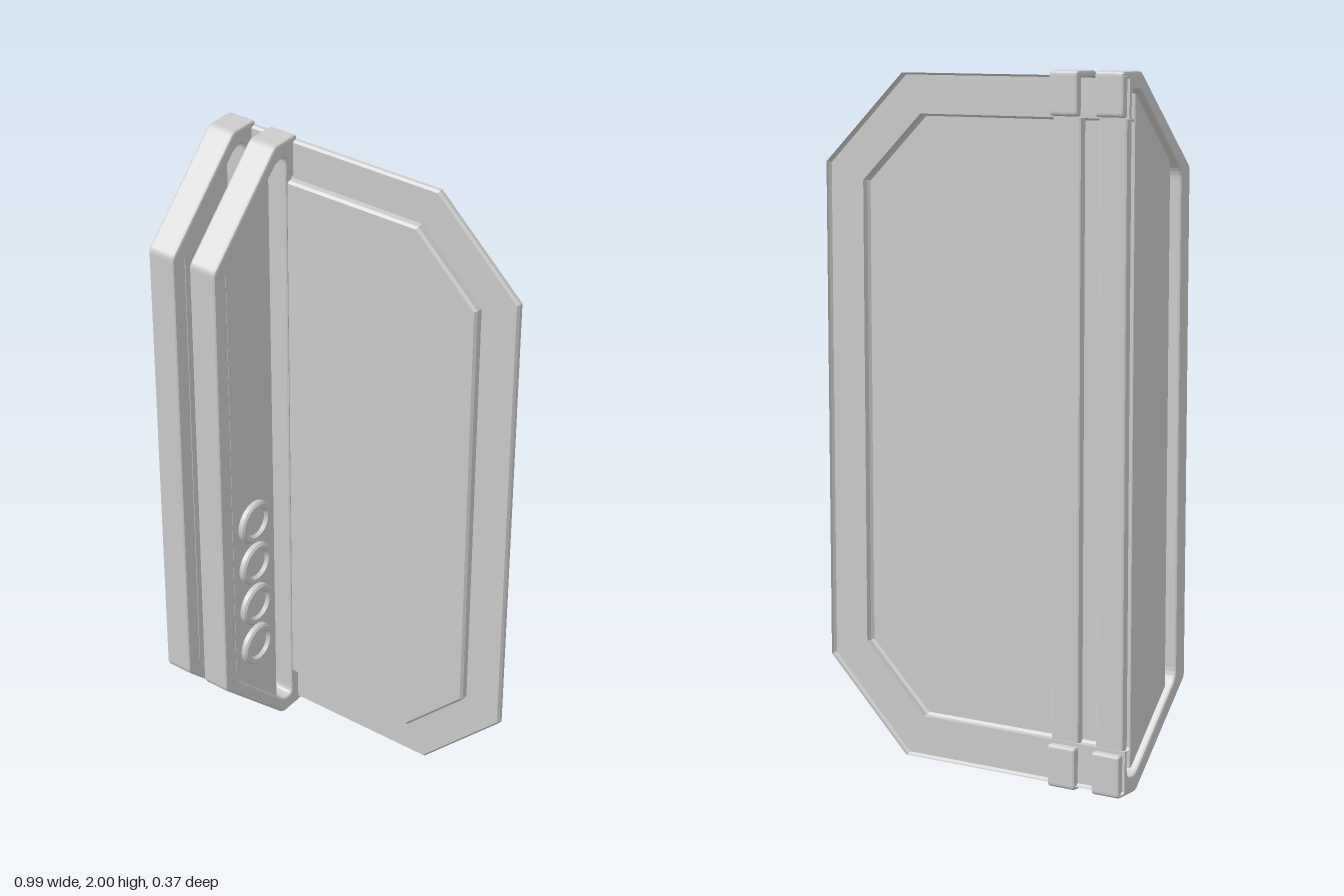
import * as THREE from 'three';

// Closed outline with slightly rounded corners
function outline(points, radius, Type = THREE.Shape) {
  const path = new Type();
  const n = points.length;
  points.forEach(([x, y], i) => {
    const corner = new THREE.Vector2(x, y);
    const toward = ([px, py]) => {
      const d = new THREE.Vector2(px, py).sub(corner);
      return d.clone().setLength(Math.min(radius, d.length() * 0.4)).add(corner);
    };
    const a = toward(points[(i + n - 1) % n]);
    const b = toward(points[(i + 1) % n]);
    if (i === 0) path.moveTo(a.x, a.y);
    else path.lineTo(a.x, a.y);
    path.quadraticCurveTo(x, y, b.x, b.y);
  });
  path.closePath();
  return path;
}

// Bevelled slab drawn in (z, y) and extruded along x; reversed to stay counter-clockwise
function sideSlab(points, depth, bevel, holePoints) {
  const flip = (list) => list.map(([z, y]) => [-z, y]).reverse();
  const shape = outline(flip(points), 0.012);
  if (holePoints) shape.holes.push(outline(flip(holePoints).reverse(), 0.025, THREE.Path));
  const geometry = new THREE.ExtrudeGeometry(shape, {
    depth: depth - 2 * bevel,
    bevelSize: bevel,
    bevelThickness: bevel,
    bevelOffset: -bevel,
    bevelSegments: 2,
    curveSegments: 4,
  });
  return geometry.translate(0, 0, bevel).rotateY(Math.PI / 2);
}

// Outline with two cut corners on the right, open on the left, moved inwards by inset
function cutRing({ low, high, right, cutX, cutLow, cutHigh }, inset, z) {
  const slide = 0.414 * inset;
  return [
    [-0.497, low + inset, z], [cutX - slide, low + inset, z], [right - inset, cutLow + slide, z],
    [right - inset, cutHigh - slide, z], [cutX - slide, high - inset, z], [-0.497, high - inset, z],
  ];
}

// Sheet joining successive rings, with the last one filled when capped
function sheet(rings, capped) {
  const positions = [];
  const face = (...corners) => corners.forEach((c) => positions.push(...c));
  for (let r = 0; r < rings.length - 1; r++) {
    const [a, b] = [rings[r], rings[r + 1]];
    for (let j = 0; j < a.length - 1; j++) {
      face(a[j], a[j + 1], b[j + 1]);
      face(a[j], b[j + 1], b[j]);
    }
  }
  const last = rings[rings.length - 1];
  if (capped) for (let j = 1; j < last.length - 1; j++) face(last[0], last[j], last[j + 1]);
  const geometry = new THREE.BufferGeometry();
  geometry.setAttribute('position', new THREE.Float32BufferAttribute(positions, 3));
  geometry.computeVertexNormals();
  return geometry;
}

export function createModel() {
  const model = new THREE.Group();
  model.name = 'wallPanelWithRibs';
  const grey = new THREE.MeshStandardMaterial({ color: 0xcccccc, side: THREE.DoubleSide });
  grey.name = 'grey';

  const add = (parent, geometry, name, x = 0, y = 0, z = 0) => {
    const mesh = new THREE.Mesh(geometry, grey);
    mesh.name = name;
    mesh.position.set(x, y, z);
    parent.add(mesh);
    return mesh;
  };

  // Pressed sheet: a bevelled rim and a raised panel, both hollow behind
  const rim = { low: 0.013, high: 1.987, right: 0.496, cutX: 0.23, cutLow: 0.28, cutHigh: 1.73 };
  const panel = { low: 0.133, high: 1.873, right: 0.379, cutX: 0.18, cutLow: 0.33, cutHigh: 1.68 };
  add(model, sheet([
    cutRing(rim, 0, -0.185), cutRing(rim, 0, -0.175),
    cutRing(rim, 0.006, -0.168), cutRing(panel, 0, -0.168),
  ], false), 'backRim');
  add(model, sheet([
    cutRing(panel, 0, -0.168), cutRing(panel, 0, -0.149), cutRing(panel, 0.007, -0.142),
  ], true), 'mainPanel');

  // Two upright ribs, each with an inset plate and clamps over the back rim
  const ribOutline = [
    [-0.165, 0], [-0.09, 0], [0.185, 0.27], [0.185, 1.73], [-0.09, 2], [-0.165, 2],
  ];
  const ribHole = [
    [-0.138, 0.05], [-0.095, 0.05], [0.135, 0.28], [0.135, 1.72], [-0.095, 1.95], [-0.138, 1.95],
  ];
  const ribGeometry = sideSlab(ribOutline, 0.09, 0.007, ribHole);
  const plateGeometry = sideSlab(
    [[-0.085, 0.035], [0.112, 0.23], [0.112, 1.77], [-0.085, 1.965]], 0.047, 0.005);
  const clampGeometry = sideSlab(
    [[-0.187, 0], [-0.14, 0], [-0.14, 0.123], [-0.187, 0.123]], 0.09, 0.007);
  [['outerRib', -0.489], ['innerRib', -0.345]].forEach(([name, x]) => {
    const rib = new THREE.Group();
    rib.name = name;
    rib.position.x = x;
    add(rib, ribGeometry, 'ribFrame');
    add(rib, plateGeometry, 'ribPlate', 0.022);
    add(rib, clampGeometry, 'lowerClamp');
    add(rib, clampGeometry, 'upperClamp', 0, 1.877);
    model.add(rib);
  });

  // Column of round sockets on the inner rib, in bands that keep the turned edges crisp
  const profile = [
    [0.068, -0.004], [0.068, 0.014], [0.062, 0.02], [0.049, 0.02], [0.044, 0.008], [0, 0.008],
  ].map(([r, h]) => new THREE.Vector2(r, h));
  for (let i = 0; i < 4; i++) {
    const socket = new THREE.Group();
    socket.name = 'socket';
    socket.position.set(-0.276, 0.343 + i * 0.153, 0.018);
    socket.rotation.z = -Math.PI / 2;
    for (let k = 0; k < profile.length - 1; k++) {
      add(socket, new THREE.LatheGeometry([profile[k], profile[k + 1]], 32), 'socketBand');
    }
    model.add(socket);
  }
  return model;
}
